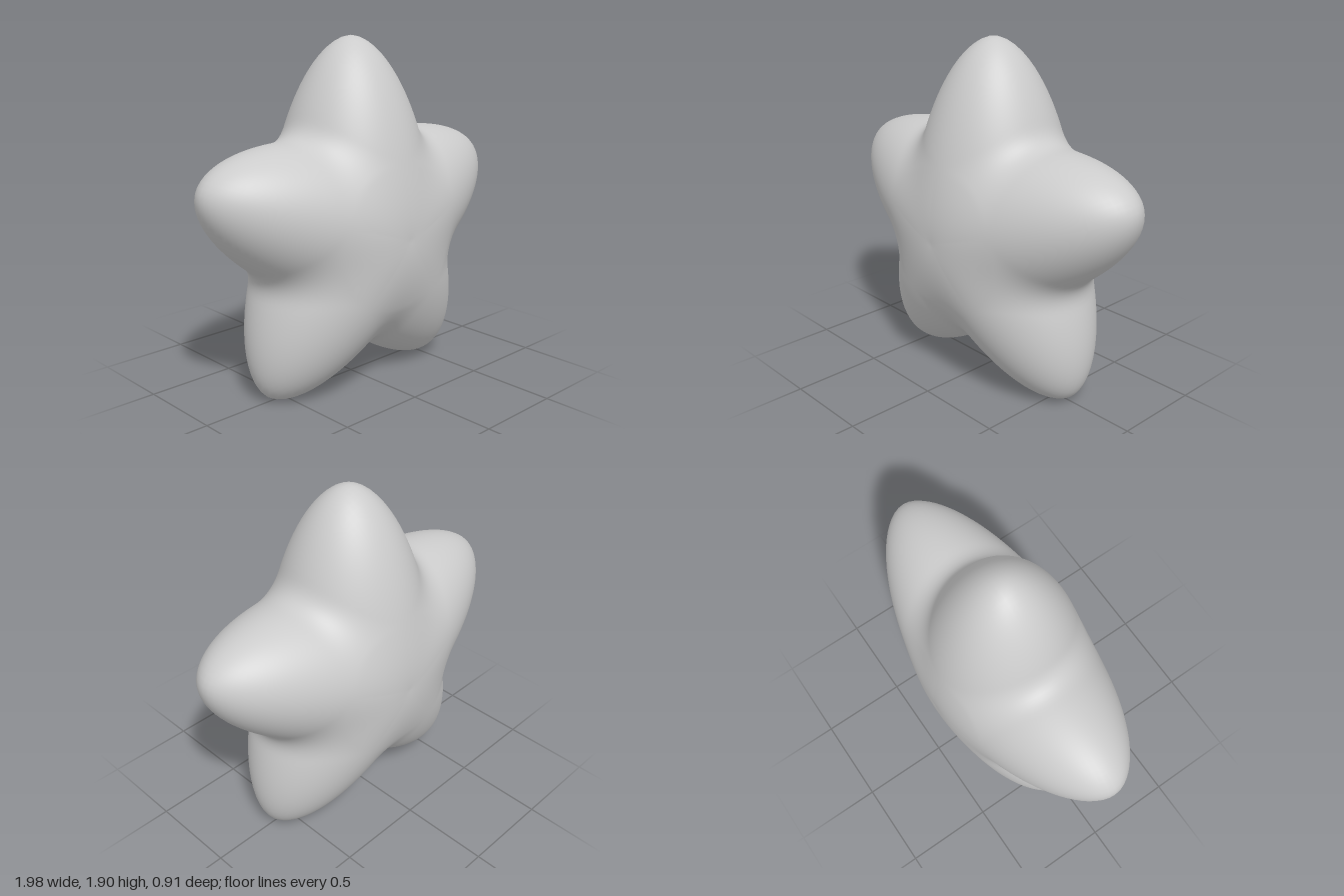
import * as THREE from 'three';
import { mergeVertices } from 'three/addons/utils/BufferGeometryUtils.js';

const REACH = 1.035;   // centre to arm tip
const GIRTH = 0.455;   // arm radius at the centre
const CENTRE_Y = 0.87;
const SECTOR = Math.PI * 2 / 5;

// radius of a round arm at distance s along its axis
function armRadius(s) {
  const u = s / REACH;
  return u < 1 ? GIRTH * Math.pow(1 - Math.pow(u, 1.7), 0.55) : 1 - u;
}

// signed gap between a point and one arm, a = angle away from the arm's axis
function armGap(rho, a, z) {
  return Math.hypot(rho * Math.sin(a), z) - armRadius(rho * Math.cos(a));
}

// the nearest arm softly blended with its neighbour
function starGap(rho, a, z) {
  const near = armGap(rho, a, z);
  const next = armGap(rho, SECTOR - a, z);
  const k = 0.11 * Math.min(1, rho / 0.4) + 1e-6;
  const h = Math.max(k - Math.abs(near - next), 0) / k;
  return Math.min(near, next) - h * h * k / 4;
}

// distance from the centre to the surface along a unit direction
function surfaceDistance(d) {
  const flat = Math.hypot(d.x, d.y);
  const angle = Math.atan2(d.x, d.y);
  const a = Math.abs(angle - Math.round(angle / SECTOR) * SECTOR);
  let lo = 0, hi = 1.2;
  for (let i = 0; i < 30; i++) {
    const mid = (lo + hi) / 2;
    if (starGap(mid * flat, a, mid * d.z) < 0) lo = mid;
    else hi = mid;
  }
  return lo;
}

export function createModel() {
  const group = new THREE.Group();
  group.name = 'puffyStar';

  // sphere with its poles front and back, pushed out to the star surface
  let geometry = new THREE.SphereGeometry(1, 200, 100);
  geometry.rotateX(Math.PI / 2);
  const pos = geometry.attributes.position;
  const d = new THREE.Vector3();
  for (let i = 0; i < pos.count; i++) {
    d.fromBufferAttribute(pos, i).normalize();
    d.multiplyScalar(surfaceDistance(d));
    pos.setXYZ(i, d.x, d.y, d.z);
  }
  geometry.deleteAttribute('uv');
  geometry.deleteAttribute('normal');
  geometry = mergeVertices(geometry, 1e-5);
  geometry.computeVertexNormals();

  // stand the star on the ground
  geometry.computeBoundingBox();
  const star = new THREE.Mesh(geometry, new THREE.MeshStandardMaterial({ color: 0xcccccc }));
  star.name = 'starBody';
  star.position.y = Math.abs(geometry.boundingBox.min.y + CENTRE_Y) < 0.1 ? -geometry.boundingBox.min.y : CENTRE_Y;
  group.add(star);
  return group;
}
